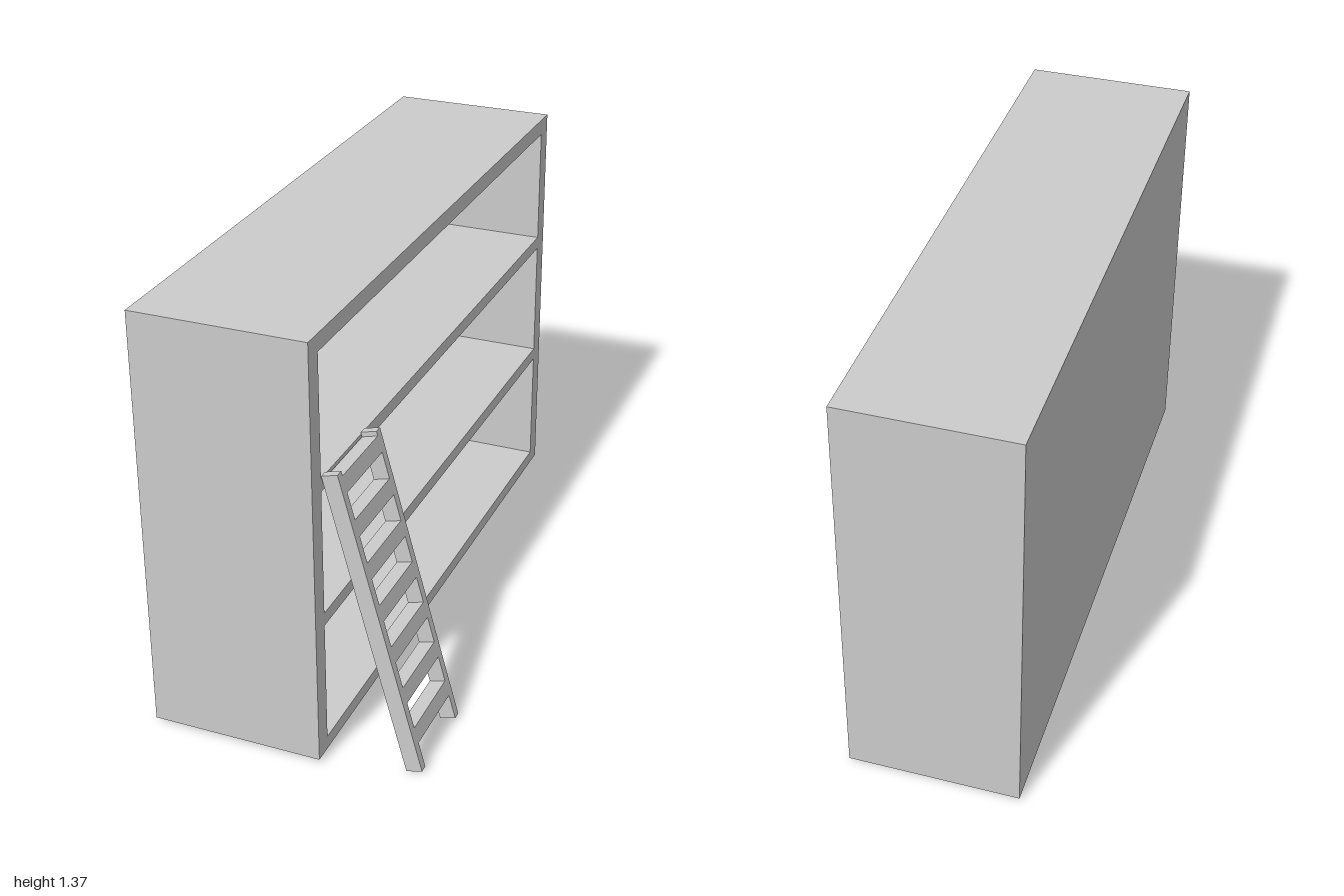
import * as THREE from 'three';

const material = new THREE.MeshStandardMaterial({ color: 0xcccccc, flatShading: true });

function add(parent, name, geometry, x = 0, y = 0, z = 0) {
  const mesh = new THREE.Mesh(geometry, material);
  mesh.name = name;
  mesh.position.set(x, y, z);
  parent.add(mesh);
  return mesh;
}

function rectangle(target, x0, x1, y0, y1) {
  target.moveTo(x0, y0);
  target.lineTo(x1, y0);
  target.lineTo(x1, y1);
  target.lineTo(x0, y1);
  target.closePath();
  return target;
}

function createBookcase() {
  const bookcase = new THREE.Group();
  bookcase.name = 'bookcase';
  const back = -0.425, front = 0.12, panel = 0.04;
  const bottom = 0.012, top = 1.375;

  // Frame with three compartments, extruded along the depth
  const outline = rectangle(new THREE.Shape(), -1, 1, bottom, top);
  for (const [y0, y1] of [[0.055, 0.45], [0.492, 0.893], [0.935, 1.322]]) {
    outline.holes.push(rectangle(new THREE.Path(), -0.94, 0.938, y0, y1));
  }
  const frame = new THREE.ExtrudeGeometry(outline, { depth: front - back - panel, bevelEnabled: false });
  frame.rotateY(Math.PI / 2);
  add(bookcase, 'shelfFrame', frame, back + panel);

  // Closed back
  add(bookcase, 'backPanel', new THREE.BoxGeometry(panel, top - bottom, 2),
    back + panel / 2, (top + bottom) / 2);
  return bookcase;
}

function createLadder() {
  const ladder = new THREE.Group();
  ladder.name = 'ladder';
  const depth = 0.051, length = 0.975, railWidth = 0.026, railOffset = 0.137;

  // Side rails
  for (const side of [-1, 1]) {
    add(ladder, side > 0 ? 'frontRail' : 'backRail',
      new THREE.BoxGeometry(depth, length, railWidth), 0, 0, side * railOffset);
  }

  // Seven flat rungs between the rails
  const rung = new THREE.BoxGeometry(depth, 0.052, 2 * railOffset - railWidth);
  for (let i = 0; i < 7; i++) add(ladder, `rung${i + 1}`, rung, 0, -0.379 + i * 0.1376);

  // Lean against the front of the bookcase
  ladder.rotation.z = THREE.MathUtils.degToRad(15);
  ladder.position.set(0.271, 0.478, 0.789);
  return ladder;
}

export function createModel() {
  const model = new THREE.Group();
  model.name = 'bookcaseWithLadder';
  model.add(createBookcase(), createLadder());
  return model;
}
